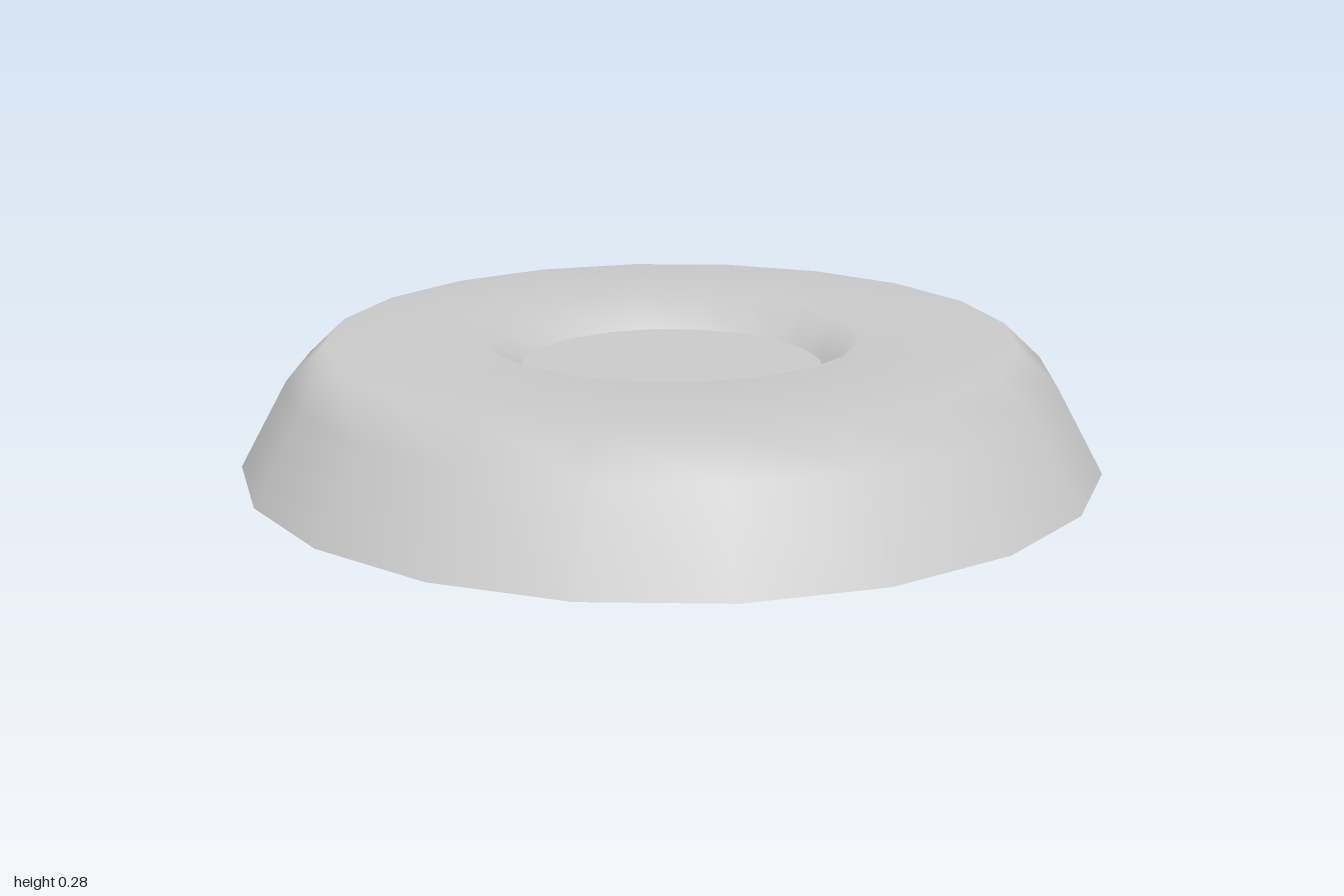
import * as THREE from 'three';

const SIDES = 20;
const FLOOR_RADIUS = 0.355;
const FLOOR_Y = 0.21;

// Revolves rows of [radius, y, outward normal, upward normal] with those smooth normals
function revolve(name, rows, material) {
  const points = rows.map(([r, y]) => new THREE.Vector2(r, y));
  const geometry = new THREE.LatheGeometry(points, SIDES);
  const normal = geometry.attributes.normal;
  for (let i = 0; i < normal.count; i++) {
    const [, , out, up] = rows[i % rows.length];
    const phi = Math.floor(i / rows.length) * Math.PI * 2 / SIDES;
    const length = Math.hypot(out, up);
    normal.setXYZ(i, out * Math.sin(phi) / length, up / length, out * Math.cos(phi) / length);
  }
  const mesh = new THREE.Mesh(geometry, material);
  mesh.name = name;
  return mesh;
}

export function createModel() {
  const group = new THREE.Group();
  group.name = 'dishedRing';
  const material = new THREE.MeshStandardMaterial({ color: 0xcccccc });

  // Sloping outer wall, bevelled shoulder, flat top and inner lip
  group.add(revolve('ringTop', [
    [1, 0, 0.2, 0.11],
    [0.89, 0.2, 0.84, 0.54],
    [0.8, 0.285, 0.08, 1],
    [0.44, 0.285, -0.08, 1],
    [FLOOR_RADIUS, FLOOR_Y, -0.66, 0.75],
  ], material));

  // Hollow conical underside
  group.add(revolve('underside', [
    [FLOOR_RADIUS, FLOOR_Y, -0.21, -0.645],
    [1, 0, -0.21, -0.645],
  ], material));

  // Flat floor closing the centre
  const floorMaterial = new THREE.MeshStandardMaterial({ color: 0xcccccc, side: THREE.DoubleSide });
  const floor = new THREE.Mesh(new THREE.CircleGeometry(FLOOR_RADIUS, SIDES), floorMaterial);
  floor.name = 'centreFloor';
  floor.rotation.x = -Math.PI / 2;
  floor.position.y = FLOOR_Y;
  group.add(floor);

  return group;
}
